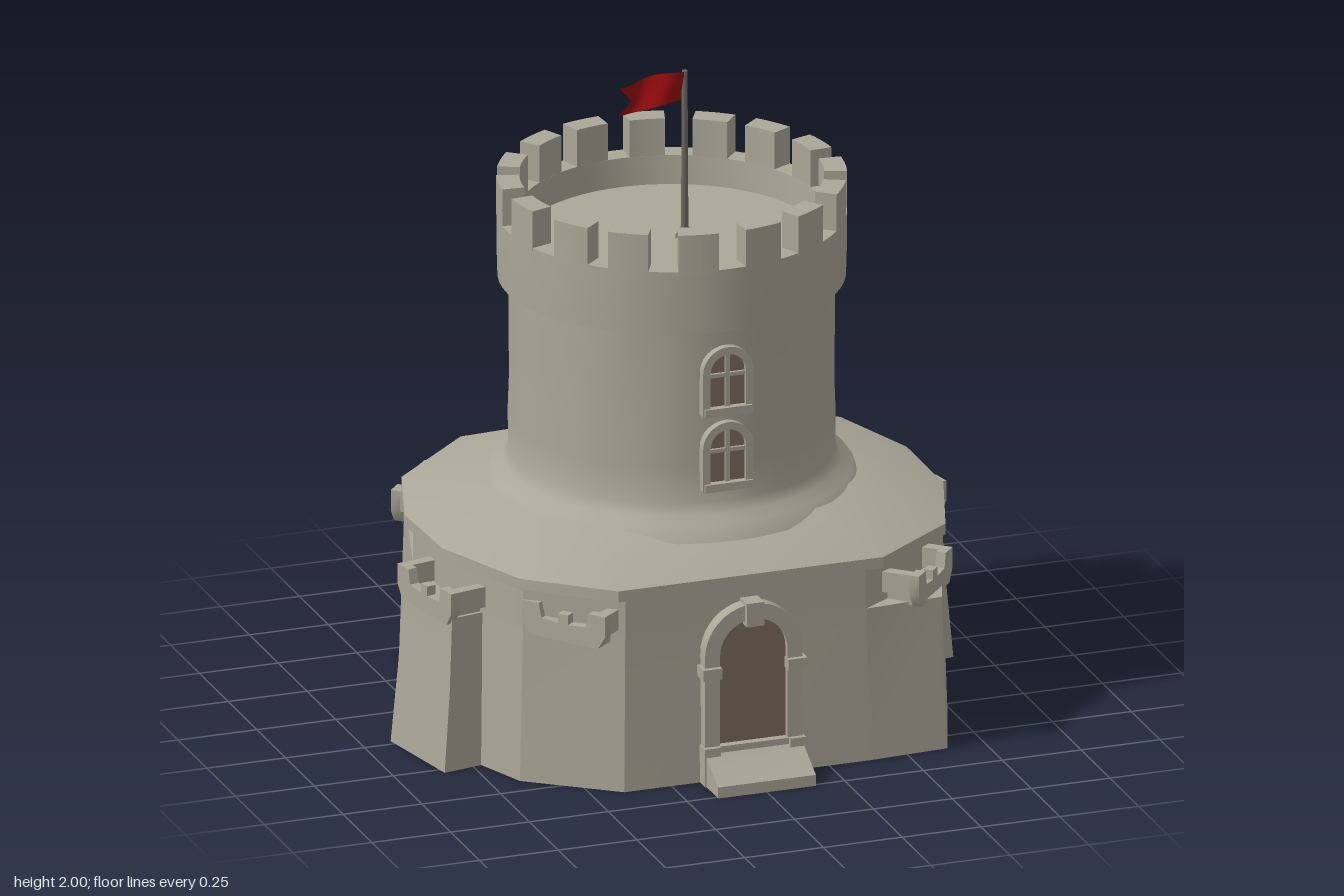
import * as THREE from 'three';
import { toCreasedNormals } from 'three/addons/utils/BufferGeometryUtils.js';

const mat = (name, color, side = THREE.FrontSide) => {
  const m = new THREE.MeshStandardMaterial({ color, side });
  m.name = name;
  return m;
};
const CZ = -0.07; // tower axis

// Closed solid through rings of [x, z] points, each ring at its own height
function loft(rings) {
  const n = rings[0].pts.length, pos = [], idx = [];
  for (const { y, pts } of rings) for (const [x, z] of pts) pos.push(x, y, z);
  for (let r = 0; r < rings.length - 1; r++) {
    for (let i = 0; i < n; i++) {
      const a = r * n + i, b = r * n + (i + 1) % n;
      idx.push(a, b, b + n, a, b + n, a + n);
    }
  }
  const caps = [[rings[0], 0, true], [rings[rings.length - 1], (rings.length - 1) * n, false]];
  for (const [ring, start, down] of caps) {
    const c = pos.length / 3;
    const mean = (k) => ring.pts.reduce((s, p) => s + p[k], 0) / n;
    pos.push(mean(0), ring.y, mean(1));
    for (let i = 0; i < n; i++) {
      const a = start + i, b = start + (i + 1) % n;
      idx.push(c, down ? b : a, down ? a : b);
    }
  }
  const g = new THREE.BufferGeometry();
  g.setAttribute('position', new THREE.Float32BufferAttribute(pos, 3));
  g.setIndex(idx);
  return toCreasedNormals(g, 0.5);
}

const scaled = (pts, s) => pts.map(([x, z]) => [x * s, CZ + (z - CZ) * s]);

// Round-headed outline standing on y = 0
function archPath(w, h, Type = THREE.Shape) {
  const p = new Type();
  p.moveTo(-w / 2, 0);
  p.lineTo(w / 2, 0);
  p.lineTo(w / 2, h - w / 2);
  p.absarc(0, h - w / 2, w / 2, 0, Math.PI, false);
  p.lineTo(-w / 2, 0);
  return p;
}

const extrude = (shape, depth) =>
  toCreasedNormals(new THREE.ExtrudeGeometry(shape, { depth, bevelEnabled: false, curveSegments: 10 }), 0.6);

// Stone surround with its opening
function archFrame(w, h, rim, depth) {
  const s = archPath(w, h);
  const hole = archPath(w - 2 * rim, h - 2 * rim, THREE.Path);
  s.holes.push(new THREE.Path(hole.getPoints(10).map((p) => p.add(new THREE.Vector2(0, rim)))));
  return extrude(s, depth);
}

export function createModel() {
  const stone = mat('stone', 0xaba798);
  const wood = mat('brown panel', 0x7b6b5f);
  const poleMat = mat('pole grey', 0x6e685e);
  const red = mat('flag red', 0x9a0c0c, THREE.DoubleSide);
  const root = new THREE.Group();
  root.name = 'castleTower';

  const add = (name, geo, material, x = 0, y = 0, z = 0, parent = root) => {
    const m = new THREE.Mesh(geo, material);
    m.name = name;
    m.position.set(x, y, z);
    parent.add(m);
    return m;
  };
  const box = (name, w, h, d, x, y, z, parent = root, material = stone) =>
    add(name, new THREE.BoxGeometry(w, h, d), material, x, y, z, parent);

  // Base walls: two opposite corners are sharp below the balconies
  const foot = [[0.38, 0.615], [0.63, 0.6], [0.74, 0.3], [0.79, 0.05], [0.79, -0.2], [0.69, -0.5], [0.38, -0.74],
    [-0.3, -0.74], [-0.62, -0.74], [-0.79, -0.2], [-0.79, 0.08], [-0.66, 0.42], [-0.4, 0.615]];
  const upper = scaled(foot, 0.98);
  const cut = upper.map((p, i) => (i === 1 || i === 8 ? [p[0] * 0.87, CZ + (p[1] - CZ) * 0.87] : p));
  add('baseWalls', loft([{ y: 0, pts: foot }, { y: 0.48, pts: upper }, { y: 0.485, pts: cut }, { y: 0.62, pts: cut }]), stone);

  // Sloping roof of the base
  const eave = [[0.42, 0.62], [0.69, 0.42], [0.8, 0.1], [0.8, -0.22], [0.7, -0.52], [0.4, -0.755],
    [-0.42, -0.755], [-0.7, -0.5], [-0.8, -0.2], [-0.79, 0.1], [-0.66, 0.42], [-0.42, 0.62]];
  const neck = eave.map(([x, z]) => {
    const a = Math.atan2(x, z - CZ);
    return [0.5 * Math.sin(a), CZ + 0.5 * Math.cos(a)];
  });
  add('baseRoof', loft([{ y: 0.61, pts: eave }, { y: 0.645, pts: eave }, { y: 0.758, pts: neck }]), stone);

  // Round tower with a collar at the foot, slightly uneven
  const lathe = (profile) => new THREE.LatheGeometry(profile.map((p) => new THREE.Vector2(...p)), 64);
  const shaft = lathe([[0.57, 0.71], [0.54, 0.755], [0.505, 0.775], [0.488, 0.81], [0.487, 0.92], [0.485, 1.04],
    [0.485, 1.16], [0.486, 1.28], [0.487, 1.38]]);
  const p = shaft.attributes.position;
  for (let i = 0; i < p.count; i++) {
    const a = Math.atan2(p.getX(i), p.getZ(i)), y = p.getY(i);
    const k = 1 + 0.005 * Math.sin(5 * a + 9 * y) * Math.sin(7 * a - 14 * y);
    p.setX(i, p.getX(i) * k);
    p.setZ(i, p.getZ(i) * k);
  }
  add('towerShaft', toCreasedNormals(shaft, 0.7), stone, 0, 0, CZ);

  // Parapet and roof deck
  add('parapet', toCreasedNormals(lathe([[0.47, 1.36], [0.52, 1.36], [0.523, 1.46], [0.523, 1.56], [0.455, 1.56],
    [0.45, 1.47], [0, 1.465]]), 0.6), stone, 0, 0, CZ);

  // Battlements
  const half = 0.118, block = new THREE.Shape();
  block.absarc(0, 0, 0.523, -half, half, false);
  block.absarc(0, 0, 0.455, half, -half, true);
  const merlonGeo = extrude(block, 0.125).rotateX(-Math.PI / 2);
  for (let i = 0; i < 16; i++) {
    const m = add('merlon', merlonGeo, stone, 0, 1.552, CZ);
    m.rotation.y = (i + 0.5) * Math.PI / 8 + 0.015 * Math.sin(i * 2.3);
  }

  // Tower windows
  for (const y of [0.85, 1.09]) {
    const g = new THREE.Group();
    g.name = 'towerWindow';
    g.position.set(-0.005, y, 0.385);
    root.add(g);
    add('windowFrame', archFrame(0.16, 0.215, 0.024, 0.052), stone, 0, 0, 0, g);
    add('windowPane', extrude(archPath(0.14, 0.195), 0.006), wood, 0, 0.01, 0.031, g);
    box('mullion', 0.014, 0.17, 0.012, 0, 0.105, 0.04, g);
    box('crossbar', 0.12, 0.012, 0.012, 0, 0.125, 0.04, g);
    box('windowSill', 0.15, 0.025, 0.06, 0, 0.012, 0.03, g);
  }

  // Doorway
  const door = new THREE.Group();
  door.name = 'doorway';
  door.position.set(0, 0, 0.57);
  root.add(door);
  add('doorFrame', archFrame(0.31, 0.56, 0.048, 0.075), stone, 0, 0, 0, door);
  add('doorPanel', extrude(archPath(0.24, 0.5), 0.008), wood, 0, 0.03, 0.047, door);
  box('keystone', 0.055, 0.075, 0.09, 0, 0.53, 0.045, door);
  for (const s of [-1, 1]) {
    box('impost', 0.06, 0.035, 0.09, s * 0.135, 0.355, 0.045, door);
    box('jambFoot', 0.05, 0.12, 0.09, s * 0.135, 0.06, 0.045, door);
  }

  // Sloping doorstep
  const side = new THREE.Shape([[0.57, 0], [0.76, 0], [0.76, 0.035], [0.67, 0.085], [0.65, 0.1], [0.57, 0.1]]
    .map((q) => new THREE.Vector2(...q)));
  add('doorstep', extrude(side, 0.31).rotateY(-Math.PI / 2), stone, 0.155);
  box('threshold', 0.24, 0.03, 0.08, 0, 0.105, 0.61);

  // Small balcony; its outer face lies at local z = 0
  function balcony(x, y, z, angle, w = 0.28, d = 0.12) {
    const g = new THREE.Group();
    g.name = 'balcony';
    g.position.set(x, y, z);
    g.rotation.y = angle;
    root.add(g);
    const h = w / 2, n = w * 0.3;
    const front = new THREE.Shape([[-h + 0.025, 0], [h - 0.025, 0], [h, 0.04], [h, 0.105], [n, 0.105], [n - 0.01, 0.06],
      [0.015, 0.055], [0.015, 0.085], [-0.02, 0.085], [-0.02, 0.055], [-n + 0.01, 0.06], [-n, 0.105], [-h, 0.105], [-h, 0.04]]
      .map((q) => new THREE.Vector2(...q)));
    add('balconyFront', extrude(front, 0.03), stone, 0, 0, -0.03, g);
    box('balconyFloor', w - 0.05, 0.035, d, 0, 0.018, -d / 2 - 0.005, g);
    for (const s of [-1, 1]) box('balconySide', 0.035, 0.065, d, s * (h - 0.018), 0.0725, -d / 2 - 0.005, g);
  }
  balcony(0.615, 0.47, 0.54, 0.84, 0.27, 0.15);
  balcony(-0.615, 0.47, -0.68, 0.84 + Math.PI, 0.27, 0.15);
  balcony(-0.56, 0.47, 0.525, -0.9, 0.29);
  balcony(0.56, 0.47, -0.655, Math.PI - 0.9, 0.29);

  // Tapered side buttresses, each carrying a balcony
  const quad = (w, z) => [[w / 2, z], [w / 2, -0.16], [-w / 2, -0.16], [-w / 2, z]];
  const buttressGeo = loft([{ y: 0, pts: quad(0.31, 0.01) }, { y: 0.25, pts: quad(0.295, -0.012) },
    { y: 0.48, pts: quad(0.28, -0.025) }]);
  for (const s of [1, -1]) {
    const x = s * 0.868, z = CZ + 0.003 - s * 0.193;
    const angle = 1.768 + (s < 0 ? Math.PI : 0);
    add('buttress', buttressGeo, stone, x, 0, z).rotation.y = angle;
    balcony(x - s * 0.012, 0.46, z, angle, 0.305);
  }

  // Flagpole and swallow-tailed flag
  add('flagpole', new THREE.CylinderGeometry(0.009, 0.012, 0.53, 8), poleMat, 0.045, 1.73, -0.08);
  add('poleFoot', new THREE.CylinderGeometry(0.015, 0.03, 0.03, 8), poleMat, 0.045, 1.48, -0.08);
  const flag = new THREE.PlaneGeometry(1, 1, 12, 4);
  const f = flag.attributes.position;
  for (let i = 0; i < f.count; i++) {
    const u = 0.5 - f.getX(i), v = f.getY(i) * 2;
    const notch = 0.04 * u ** 4 * (1 - Math.abs(v));
    f.setXYZ(i, 0.04 - 0.2 * u + notch, 1.947 - 0.03 * u + 0.008 * Math.sin(u * 6) + v * 0.048,
      -0.08 - 0.02 * u + 0.016 * Math.sin(u * 7 + v * 0.7));
  }
  flag.computeVertexNormals();
  add('flag', flag, red);
  return root;
}
